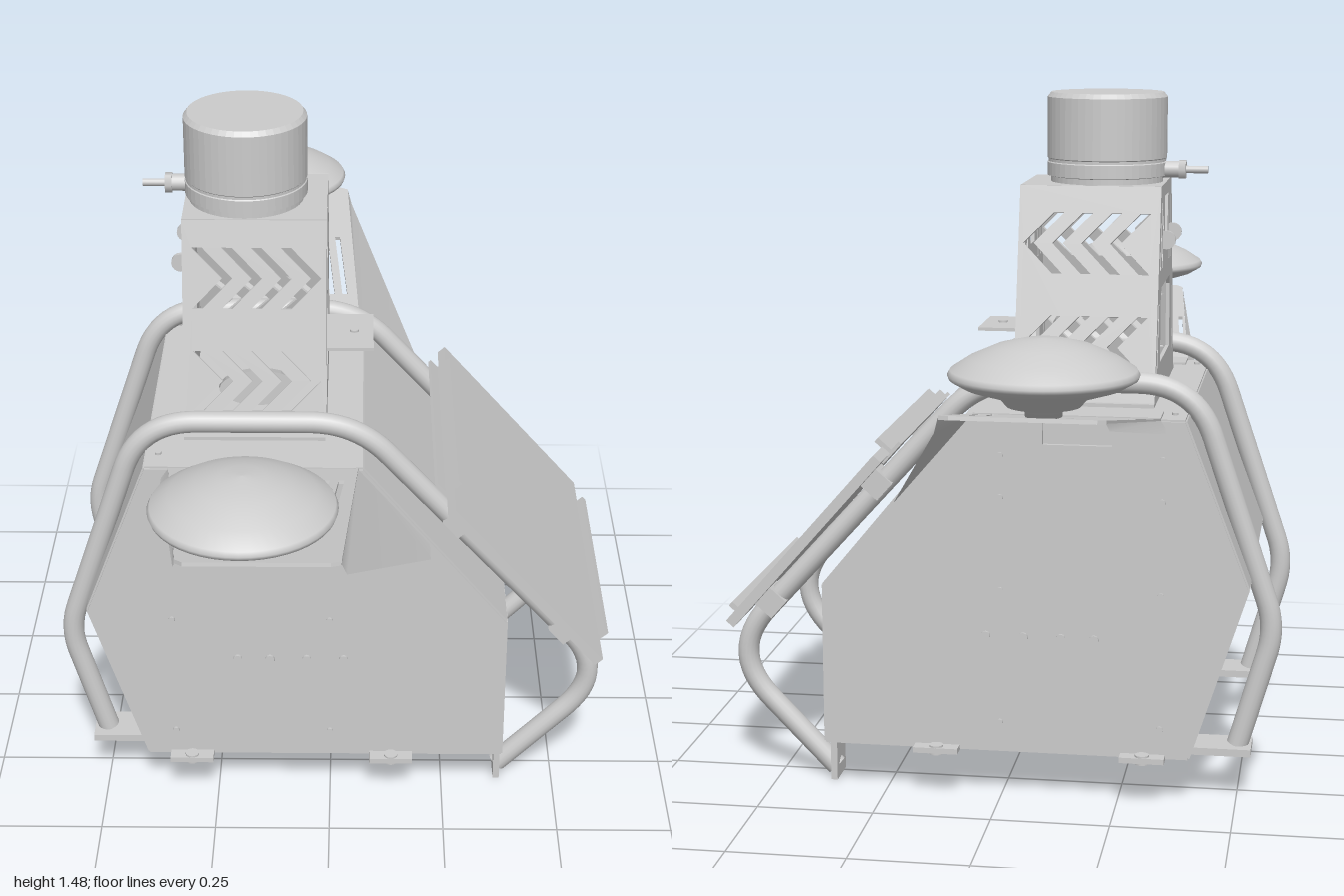
import * as THREE from 'three';

const mat = new THREE.MeshStandardMaterial({ color: 0xcccccc, side: THREE.DoubleSide });
const V = (x, y, z = 0) => new THREE.Vector3(x, y, z);
const P = (pts) => pts.map(([x, y]) => new THREE.Vector2(x, y));
const rect = (x0, x1, y0, y1) => [[x0, y0], [x1, y0], [x1, y1], [x0, y1]];

export function createModel() {
  const model = new THREE.Group();

  const add = (name, geo, x = 0, y = 0, z = 0, parent = model) => {
    const m = new THREE.Mesh(geo, mat);
    m.name = name;
    m.position.set(x, y, z);
    parent.add(m);
    return m;
  };
  const box = (name, w, h, d, x, y, z, parent) => add(name, new THREE.BoxGeometry(w, h, d), x, y, z, parent);
  const cyl = (name, r, h, x, y, z, axis = 'y', seg = 16) => {
    const g = new THREE.CylinderGeometry(r, r, h, seg);
    if (axis === 'x') g.rotateZ(Math.PI / 2);
    if (axis === 'z') g.rotateX(Math.PI / 2);
    return add(name, g, x, y, z);
  };
  // Sheet-metal plate with cutouts, drawn in the plane spanned by u and v
  const plate = (name, outline, holes, t, origin, u, v) => {
    const s = new THREE.Shape(P(outline));
    holes.forEach((h) => s.holes.push(new THREE.Path(P(h))));
    const g = new THREE.ExtrudeGeometry(s, { depth: t, bevelEnabled: false });
    g.translate(0, 0, -t / 2);
    const n = u.clone().cross(v).normalize();
    g.applyMatrix4(new THREE.Matrix4().makeBasis(u, v, n).setPosition(origin));
    return add(name, g);
  };
  // Thin flat flange from a fan of corners
  const flange = (name, pts) => {
    const g = new THREE.BufferGeometry().setFromPoints(pts);
    const idx = [];
    for (let i = 1; i < pts.length - 1; i++) idx.push(0, i, i + 1);
    g.setIndex(idx);
    g.computeVertexNormals();
    return add(name, g);
  };
  // Round cutout or slot end points
  const oval = (cx, cy, rx, ry) => Array.from({ length: 24 }, (_, i) => {
    const a = (i / 24) * Math.PI * 2;
    return [cx + Math.cos(a) * rx, cy + Math.sin(a) * ry];
  });
  const X = V(1, 0), Y = V(0, 1), Z = V(0, 0, 1);

  // Hollow body: strips round the profile, closed by two end plates
  const profile = [[-0.4, 0.107], [0.38, 0.107], [0.38, 0.455], [0.07, 0.83], [-0.385, 0.83], [-0.52, 0.48]];
  const names = ['bodyFloor', 'bodyLowerPanel', 'bodySlope', 'bodyTop', 'bodyUpperRear', 'bodyLowerRear'];
  const cutouts = [[rect(-0.17, 0.17, 0.08, 0.3)], [], [], [oval(0, 0.23, 0.09, 0.09)], [], []];
  profile.forEach(([x, y], i) => {
    const [x2, y2] = profile[(i + 1) % profile.length];
    const d = V(x2 - x, y2 - y), L = d.length();
    plate(names[i], rect(-0.365, 0.365, 0, L), cutouts[i], 0.008, V(x, y), Z, d.normalize());
  });
  for (const s of [1, -1]) {
    plate('bodyEndPlate', profile, [rect(-0.235, -0.09, 0.775, 0.822)], 0.01, V(0, 0, 0.365 * s), X, Y);
    // Screws
    for (const x of [-0.34, 0]) for (const y of [0.17, 0.46, 0.66, 0.75]) cyl('screw', 0.007, 0.008, x, y, 0.371 * s, 'z', 10);
    for (const x of [-0.2, -0.13, -0.05, 0.03]) cyl('socket', 0.01, 0.01, x, 0.36, 0.371 * s, 'z', 10);
    for (const x of [-0.36, -0.2, 0]) cyl('topScrew', 0.007, 0.008, x, 0.835, 0.31 * s, 'y', 10);
  }

  // Base plate frame, cover and tabs
  plate('basePlate', rect(-0.4, 0.19, -0.3, 0.3), [rect(-0.32, -0.1, -0.17, 0.17)], 0.008, V(0, 0.102, 0), X, Z);
  box('floorCover', 0.2, 0.006, 0.42, 0.27, 0.102, 0);
  for (const s of [1, -1]) {
    for (const x of [-0.305, 0.135]) {
      box('baseTab', 0.095, 0.012, 0.1, x, 0.108, 0.35 * s);
      cyl('tabBolt', 0.015, 0.02, x, 0.108, 0.385 * s);
    }
    box('rearFoot', 0.14, 0.016, 0.09, -0.46, 0.108, 0.275 * s);
    box('frontFoot', 0.014, 0.11, 0.08, 0.375, 0.055, 0.275 * s);
  }
  box('frontLip', 0.012, 0.06, 0.62, 0.376, 0.085, 0);

  // Bent protective tubes
  const bends = [[-0.5, 0.115, 0], [-0.575, 0.376, 0.06], [-0.4, 0.893, 0.12], [0.055, 0.893, 0.1], [0.62, 0.27, 0.14], [0.378, 0.02, 0]];
  for (const s of [1, -1]) {
    const path = new THREE.CurvePath();
    const pts = bends.map(([x, y]) => V(x, y, 0.277 * s));
    let from = pts[0];
    for (let i = 1; i < pts.length - 1; i++) {
      const r = bends[i][2], c = pts[i];
      const a = c.clone().addScaledVector(pts[i - 1].clone().sub(c).normalize(), r);
      const b = c.clone().addScaledVector(pts[i + 1].clone().sub(c).normalize(), r);
      path.add(new THREE.LineCurve3(from, a));
      path.add(new THREE.QuadraticBezierCurve3(a, c, b));
      from = b;
    }
    path.add(new THREE.LineCurve3(from, pts[pts.length - 1]));
    add('guardTube', new THREE.TubeGeometry(path, 140, 0.023, 16));
  }

  // Tilted panel with end lips and tube clamps
  const panel = new THREE.Group();
  panel.name = 'tiltedPanel';
  panel.position.set(0.42, 0.55, 0);
  panel.rotation.z = -0.85;
  model.add(panel);
  box('panelSheet', 0.495, 0.022, 0.766, 0, 0, 0, panel);
  box('panelLowerLip', 0.012, 0.04, 0.58, 0.25, 0.01, 0, panel);
  box('panelUpperLip', 0.012, 0.04, 0.58, -0.25, 0.01, 0, panel);
  box('hingeStrip', 0.06, 0.008, 0.58, -0.25, -0.012, 0, panel);
  for (const s of [1, -1]) for (const x of [-0.18, 0.18]) box('tubeClamp', 0.05, 0.05, 0.06, x, -0.033, 0.277 * s, panel);

  // Antenna arms, one on each side
  const domeProfile = P([[0, 0.925], [0.035, 0.925], [0.035, 0.94], [0.07, 0.945], [0.085, 0.962], [0.15, 0.982], [0.176, 0.997],
    [0.179, 1.005], [0.174, 1.014], [0.14, 1.036], [0.09, 1.058], [0.045, 1.069], [0, 1.073]]);
  for (const s of [1, -1]) {
    plate('armPlate', [[-0.335, 0], [0.06, 0], [0.03, 0.535], [0.01, 0.545], [-0.265, 0.545], [-0.28, 0.53]],
      [[[-0.322, 0.05], [-0.312, 0.05], [-0.288, 0.3], [-0.298, 0.3]], [[0.02, 0.08], [0.032, 0.08], [0.012, 0.32], [0, 0.32]],
        [[-0.01, 0.08], [0.002, 0.08], [-0.018, 0.32], [-0.03, 0.32]], oval(-0.15, 0.33, 0.055, 0.03)],
      0.008, V(0, 0.832, 0.37 * s), X, V(0, 0.1, 0.53 * s).normalize());
    box('armRoot', 0.39, 0.008, 0.08, -0.14, 0.835, 0.335 * s);
    flange('armWideFlange', [V(0.06, 0.832, 0.37 * s), V(0.03, 0.932, 0.9 * s), V(0.04, 0.9, 0.885 * s),
      V(0.212, 0.655, 0.435 * s), V(0.212, 0.655, 0.375 * s)]);
    flange('armNarrowFlange', [V(-0.335, 0.832, 0.37 * s), V(-0.28, 0.93, 0.9 * s), V(-0.285, 0.912, 0.88 * s),
      V(-0.35, 0.812, 0.41 * s), V(-0.35, 0.812, 0.375 * s)]);
    add('antenna', new THREE.LatheGeometry(domeProfile, 48), -0.155, 0, 0.82 * s);
    cyl('antennaConnector', 0.012, 0.05, -0.155, 0.95, s > 0 ? 0.716 : -0.765);
  }

  // Tower: sloped slotted faces and trapezoid sides
  const up = V(0, 0.455, -0.11), slope = up.length();
  const chevrons = [];
  for (const y of [0.06, 0.28]) {
    for (let i = 0; i < 4; i++) {
      const x = -0.29 + i * 0.062;
      chevrons.push([[x, y], [x + 0.022, y], [x + 0.085, y + 0.065], [x + 0.022, y + 0.13], [x, y + 0.13], [x + 0.063, y + 0.065]]
        .map(([a, b]) => [a, b]));
    }
  }
  for (const s of [1, -1]) {
    plate('towerSlottedFace', rect(-0.31, -0.008, 0, slope), chevrons, 0.008, V(0, 0.832, 0.235 * s), X,
      V(0, 0.455, -0.11 * s).normalize());
    box('towerFoot', 0.3, 0.008, 0.05, -0.16, 0.838, 0.225 * s);
    cyl('towerEar', 0.02, 0.01, -0.318, 1.17, 0.08 * s, 'z');
  }
  const sideHoles = [[[-0.045, 1.26], [0.045, 1.26], [0.03, 1.15], [-0.03, 1.15]],
    [[-0.115, 0.91], [0.115, 0.91], [0.115, 1.05], [0.1, 1.07], [-0.1, 1.07], [-0.115, 1.05]]];
  for (const m of [1, -1]) {
    for (const h of [[[0.055, 1.22], [0.07, 1.22], [0.1, 1.11], [0.08, 1.11]],
      [[0.09, 1.25], [0.103, 1.25], [0.14, 1.11], [0.122, 1.11]],
      [[0.15, 1.04], [0.165, 1.04], [0.2, 0.89], [0.185, 0.89]]]) sideHoles.push(h.map(([z, y]) => [z * m, y]));
  }
  for (const x of [-0.306, -0.012]) {
    plate('towerSide', [[-0.235, 0.832], [0.235, 0.832], [0.125, 1.287], [-0.125, 1.287]], sideHoles, 0.008, V(x, 0, 0), Z, Y);
  }
  box('towerTop', 0.302, 0.008, 0.25, -0.159, 1.284, 0);

  // Small shelf reaching out of the tower
  box('shelf', 0.11, 0.007, 0.17, 0.037, 0.968, 0);
  cyl('shelfBolt', 0.01, 0.012, 0.05, 0.97, 0);

  // Round sensor with grooves and cable plug
  const sensor = [[0, 1.288], [0.122, 1.288], [0.122, 1.3], [0.13, 1.302], [0.13, 1.33], [0.128, 1.332], [0.128, 1.338],
    [0.13, 1.34], [0.13, 1.47], [0.122, 1.48], [0, 1.48]];
  const sensorGeo = new THREE.LatheGeometry(P(sensor), 48).toNonIndexed();
  sensorGeo.deleteAttribute('normal');
  sensorGeo.computeVertexNormals();
  add('sensor', sensorGeo, -0.18, 0, 0);
  cyl('plugBody', 0.018, 0.05, -0.325, 1.315, -0.01, 'x');
  cyl('plugNut', 0.022, 0.015, -0.345, 1.315, -0.01, 'x', 6);
  cyl('plugCable', 0.008, 0.06, -0.37, 1.315, -0.01, 'x');

  return model;
}
